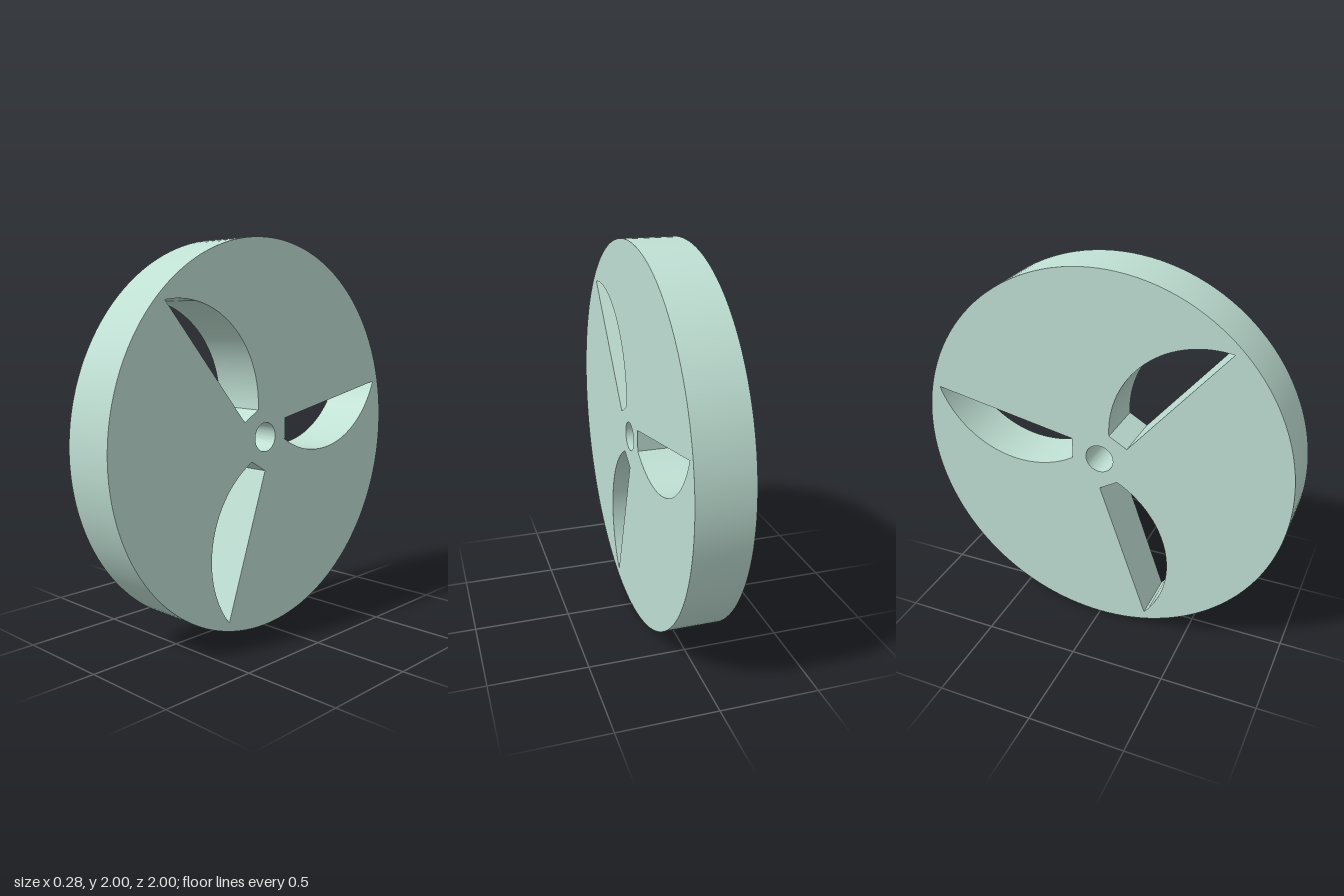
import * as THREE from 'three';
import { toCreasedNormals } from 'three/addons/utils/BufferGeometryUtils.js';

const THICKNESS = 0.28;

// Blade-shaped cutout: straight root and upper edge, circular belly, turned about the hub
function bladeHole(turn) {
  const cx = 0.436, cy = 0.415, r = 0.525, steps = 40;
  const points = [new THREE.Vector2(0.152, 0.086)];
  const start = Math.atan2(-0.024 - cy, 0.152 - cx);
  const end = Math.atan2(0.231 - cy, 0.928 - cx);
  for (let i = 0; i <= steps; i++) {
    const a = start + (end - start) * i / steps;
    points.push(new THREE.Vector2(cx + r * Math.cos(a), cy + r * Math.sin(a)));
  }
  const origin = new THREE.Vector2();
  return new THREE.Path(points.map(p => p.rotateAround(origin, turn)));
}

export function createModel() {
  const group = new THREE.Group();

  // Disc outline with hub bore and three blade cutouts
  const outline = new THREE.Shape().absarc(0, 0, 1, 0, Math.PI * 2, false);
  outline.holes.push(new THREE.Path().absarc(0, 0, 0.075, 0, Math.PI * 2, true));
  for (let i = 0; i < 3; i++) outline.holes.push(bladeHole(i * Math.PI * 2 / 3));

  const extruded = new THREE.ExtrudeGeometry(outline, {
    depth: THICKNESS, bevelEnabled: false, curveSegments: 64,
  });
  extruded.translate(0, 0, -THICKNESS / 2);

  // Stand the disc upright with its axis along x
  extruded.rotateY(Math.PI / 2);
  extruded.translate(0, 1, 0);

  const disc = new THREE.Mesh(
    toCreasedNormals(extruded, Math.PI / 6),
    new THREE.MeshStandardMaterial({ color: 0xbfdfd3 }),
  );
  disc.name = 'slottedDisc';
  group.add(disc);
  return group;
}
